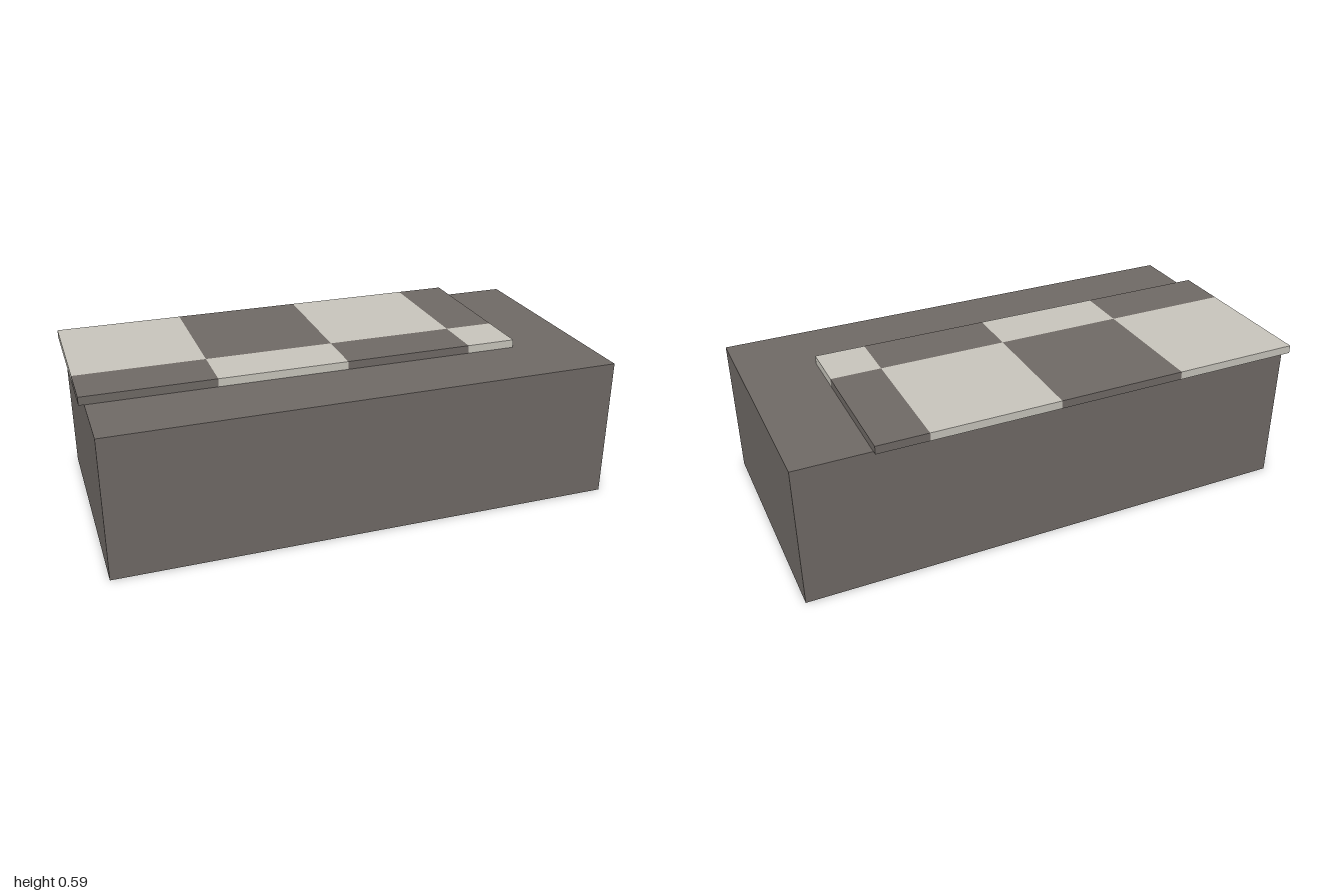
import * as THREE from 'three';

const dark = new THREE.MeshStandardMaterial({ name: 'dark stone', color: 0x706a66 });
const light = new THREE.MeshStandardMaterial({ name: 'pale stone', color: 0xc9c6bd });

// Box given by its minimum and maximum corners
function block(name, material, [x0, y0, z0], [x1, y1, z1]) {
  const mesh = new THREE.Mesh(new THREE.BoxGeometry(x1 - x0, y1 - y0, z1 - z0), material);
  mesh.position.set((x0 + x1) / 2, (y0 + y1) / 2, (z0 + z1) / 2);
  mesh.name = name;
  return mesh;
}

export function createModel() {
  const model = new THREE.Group();
  model.name = 'tiledBlock';

  // Solid base
  model.add(block('base', dark, [-0.98, 0, -0.475], [1, 0.555, 0.495]));

  // Chequered slab, its last row and column cut short
  const slab = new THREE.Group();
  slab.name = 'chequeredSlab';
  const xs = [-1, -0.495, 0.01, 0.515, 0.712];
  const zs = [-0.495, 0.01, 0.212];
  for (let i = 0; i < xs.length - 1; i++) {
    for (let j = 0; j < zs.length - 1; j++) {
      const material = (i + j) % 2 === 0 ? light : dark;
      slab.add(block('tile', material, [xs[i], 0.555, zs[j]], [xs[i + 1], 0.587, zs[j + 1]]));
    }
  }
  model.add(slab);
  return model;
}
